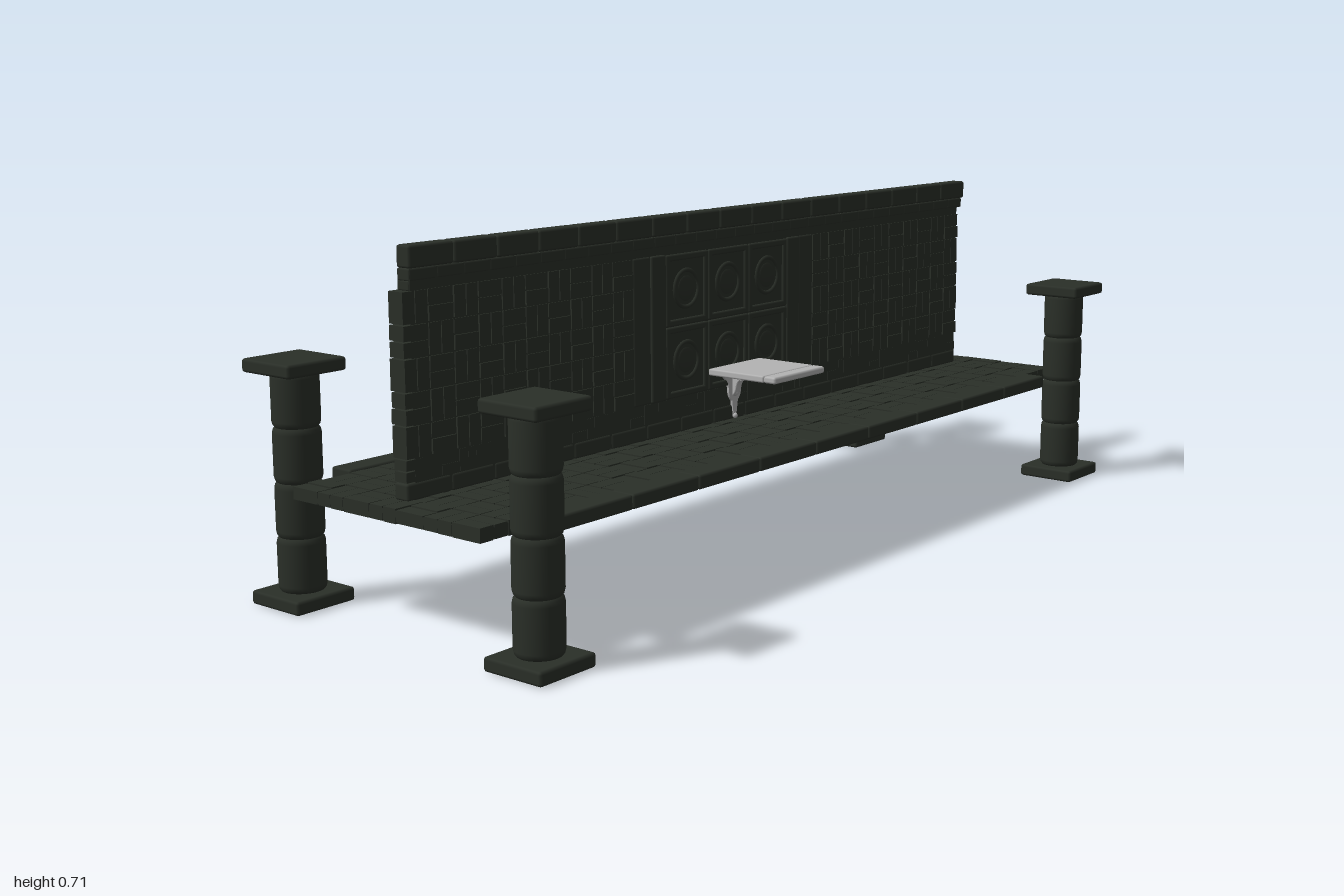
import * as THREE from 'three';
import { mergeGeometries } from 'three/addons/utils/BufferGeometryUtils.js';
import { RoundedBoxGeometry } from 'three/addons/geometries/RoundedBoxGeometry.js';

const stone = new THREE.MeshStandardMaterial({ color: 0x2a2f28 });
const pale = new THREE.MeshStandardMaterial({ color: 0xb4b4b4 });

// Box given by its limits on each axis; a radius rounds the edges
function block(x0, x1, y0, y1, z0, z1, r = 0) {
  const s = [x1 - x0, y1 - y0, z1 - z0];
  const g = r ? new RoundedBoxGeometry(...s, 1, r) : new THREE.BoxGeometry(...s);
  return g.translate((x0 + x1) / 2, (y0 + y1) / 2, (z0 + z1) / 2);
}

function part(name, geometries, material = stone) {
  const flat = geometries.map((g) => (g.index ? g.toNonIndexed() : g));
  const mesh = new THREE.Mesh(mergeGeometries(flat), material);
  mesh.name = name;
  return mesh;
}

// Basket weave: pairs of bricks that turn by a quarter from cell to cell
function weave(u0, u1, v0, v1, size, put) {
  const nu = Math.round((u1 - u0) / size), nv = Math.round((v1 - v0) / size);
  const du = (u1 - u0) / nu, dv = (v1 - v0) / nv, gap = 0.0014;
  const bricks = [];
  for (let i = 0; i < nu; i++) for (let j = 0; j < nv; j++) for (let k = 0; k < 2; k++) {
    const turned = (i + j) % 2;
    const a = u0 + (i + (turned ? k / 2 : 0)) * du, b = v0 + (j + (turned ? 0 : k / 2)) * dv;
    const lift = ((i * 7 + j * 5 + k * 3) % 4) * 0.0006;
    bricks.push(put(a + gap, a + (turned ? du / 2 : du) - gap, b + gap, b + (turned ? dv : dv / 2) - gap, lift));
  }
  return bricks;
}

// Row of rounded stones along z
function row(x0, x1, y0, y1, z0, z1, count, r = 0.005) {
  const step = (z1 - z0) / count;
  return Array.from({ length: count }, (_, i) =>
    block(x0, x1, y0, y1, z0 + i * step + 0.0007, z0 + (i + 1) * step - 0.0007, r));
}

function pillar(x, z) {
  const group = new THREE.Group();
  group.name = 'pillar';
  const profile = [[0, 0.028]];
  const step = 0.107;
  for (let i = 0; i < 4; i++) {
    const y = 0.028 + i * step;
    profile.push([0.041, y], [0.0445, y + 0.004], [0.0465, y + 0.012],
      [0.0465, y + step - 0.012], [0.0445, y + step - 0.004], [0.041, y + step]);
  }
  profile.push([0, 0.456]);
  const shaft = new THREE.LatheGeometry(profile.map((p) => new THREE.Vector2(...p)), 32);
  group.add(part('pillarShaft', [shaft]),
    part('pillarBase', [block(-0.069, 0.069, 0, 0.028, -0.07, 0.07, 0.006)]),
    part('pillarCap', [block(-0.069, 0.069, 0.454, 0.481, -0.07, 0.07, 0.006)]));
  group.position.set(x, 0, z);
  return group;
}

function floor() {
  const group = new THREE.Group();
  group.name = 'floor';
  const bricks = weave(-0.248, 0.248, -1, 1, 0.07, (x0, x1, z0, z1, l) =>
    block(x0, x1, 0.227 + l, 0.255 - l, z0, z1));
  group.add(part('floorBricks', bricks), part('floorMortar', [block(-0.246, 0.246, 0.231, 0.251, -0.998, 0.998)]));
  for (const s of [-1, 1]) {
    const c = s * 0.277;
    group.add(part('floorBorder', row(c - 0.028, c + 0.028, 0.229, 0.258, -0.86, 0.86, 9)));
  }
  return group;
}

function wall() {
  const group = new THREE.Group();
  group.name = 'wall';
  const put = (half) => (z0, z1, y0, y1, l) => block(-half + l, half - l, y0, y1, z0, z1);
  // Brickwork either side of the central panel
  group.add(part('wallBricks', [
    ...weave(-0.92, -0.29, 0.33, 0.635, 0.061, put(0.0195)),
    ...weave(0.33, 0.95, 0.33, 0.635, 0.061, put(0.0195))]));
  group.add(part('wallMortar', [block(-0.0155, 0.0155, 0.256, 0.672, -0.917, 0.928)]));
  group.add(part('wallFoot', [
    ...row(-0.018, 0.018, 0.253, 0.286, -0.92, 0.95, 17),
    ...weave(-0.92, 0.95, 0.286, 0.33, 0.044, put(0.0165))]));

  // Corbels under the coping stones
  group.add(part('corbels', row(-0.0145, 0.0145, 0.633, 0.652, -0.92, 0.93, 44, 0.003)));
  group.add(part('corbelBand', row(-0.0165, 0.0165, 0.65, 0.674, -0.94, 0.93, 28, 0.004)));
  group.add(part('coping', row(-0.0175, 0.0175, 0.673, 0.715, -0.95, 0.93, 17)));

  // Pilasters flanking the panels
  const pilasters = [];
  for (const [z, w, h] of [[0.303, 0.054, 0.0185], [0.253, 0.046, 0.0215], [-0.213, 0.046, 0.0215], [-0.263, 0.054, 0.0185]])
    pilasters.push(block(-h, h, 0.329, 0.635, z - w / 2, z + w / 2, 0.004));
  group.add(part('pilasters', pilasters));

  // Two rows of three framed panels with round bosses on both faces
  const frames = [], bosses = [];
  const dz = 0.14, dy = 0.152, t = 0.014, h = 0.0205;
  for (let i = 0; i < 3; i++) for (let j = 0; j < 2; j++) {
    const z = -0.19 + i * dz, y = 0.33 + j * dy;
    const z1 = z + dz - 0.001, y1 = y + dy - 0.001;
    frames.push(block(-h, h, y, y + t, z, z1, 0.004), block(-h, h, y1 - t, y1, z, z1, 0.004),
      block(-h, h, y, y1, z, z + t, 0.004), block(-h, h, y, y1, z1 - t, z1, 0.004));
    for (const s of [-1, 1]) {
      const ring = new THREE.TorusGeometry(0.039, 0.005, 8, 28).rotateY(Math.PI / 2);
      const dome = new THREE.SphereGeometry(0.028, 20, 10).scale(0.15, 1, 1);
      for (const g of [ring, dome])
        bosses.push(g.translate(s * 0.0145, y + dy / 2, z + dz / 2));
    }
  }
  group.add(part('panelFrames', frames), part('panelBosses', bosses));
  group.position.x = -0.005;
  return group;
}

function shelf() {
  const group = new THREE.Group();
  group.name = 'shelf';
  group.add(part('shelfTop', [
    block(0.016, 0.164, 0.362, 0.377, -0.09, 0.09, 0.004),
    block(0.1635, 0.195, 0.362, 0.377, -0.09, 0.09, 0.005)], pale));

  // Scrolled bracket below the top
  const s = new THREE.Shape();
  s.moveTo(0.012, 0.363);
  s.lineTo(0.074, 0.363);
  s.quadraticCurveTo(0.072, 0.35, 0.056, 0.351);
  s.quadraticCurveTo(0.05, 0.342, 0.038, 0.343);
  s.quadraticCurveTo(0.03, 0.338, 0.027, 0.322);
  s.quadraticCurveTo(0.024, 0.308, 0.012, 0.305);
  const web = new THREE.ExtrudeGeometry(s, { depth: 0.014, bevelEnabled: true, bevelSize: 0.002, bevelThickness: 0.003, bevelSegments: 2, curveSegments: 8 });
  web.translate(0, 0, -0.007);

  // Flaring back plate against the wall, tapering to a curl at the foot
  const p = new THREE.Shape();
  p.moveTo(-0.075, 0.363);
  p.quadraticCurveTo(-0.025, 0.355, -0.022, 0.325);
  p.quadraticCurveTo(-0.022, 0.305, -0.01, 0.295);
  p.lineTo(-0.004, 0.258);
  p.lineTo(0.004, 0.258);
  p.lineTo(0.01, 0.295);
  p.quadraticCurveTo(0.022, 0.305, 0.022, 0.325);
  p.quadraticCurveTo(0.025, 0.355, 0.075, 0.363);
  const plate = new THREE.ExtrudeGeometry(p, { depth: 0.008, bevelEnabled: false, curveSegments: 8 });
  plate.rotateY(Math.PI / 2).translate(0.011, 0, 0);
  const knob = new THREE.SphereGeometry(0.009, 14, 10).translate(0.018, 0.313, 0);
  const curl = new THREE.SphereGeometry(0.006, 12, 8).translate(0.019, 0.261, 0);
  group.add(part('shelfBracket', [web, plate, knob, curl], pale));
  return group;
}

export function createModel() {
  const model = new THREE.Group();
  model.name = 'stoneWallWithShelves';
  for (const x of [-0.3155, 0.3155]) for (const z of [-0.93, 0.93]) model.add(pillar(x, z));
  model.add(floor(), wall());
  const front = shelf(), back = shelf();
  front.name = 'leftShelf';
  back.name = 'rightShelf';
  front.position.x = back.position.x = -0.003;
  back.rotation.y = Math.PI;
  model.add(front, back);
  return model;
}
